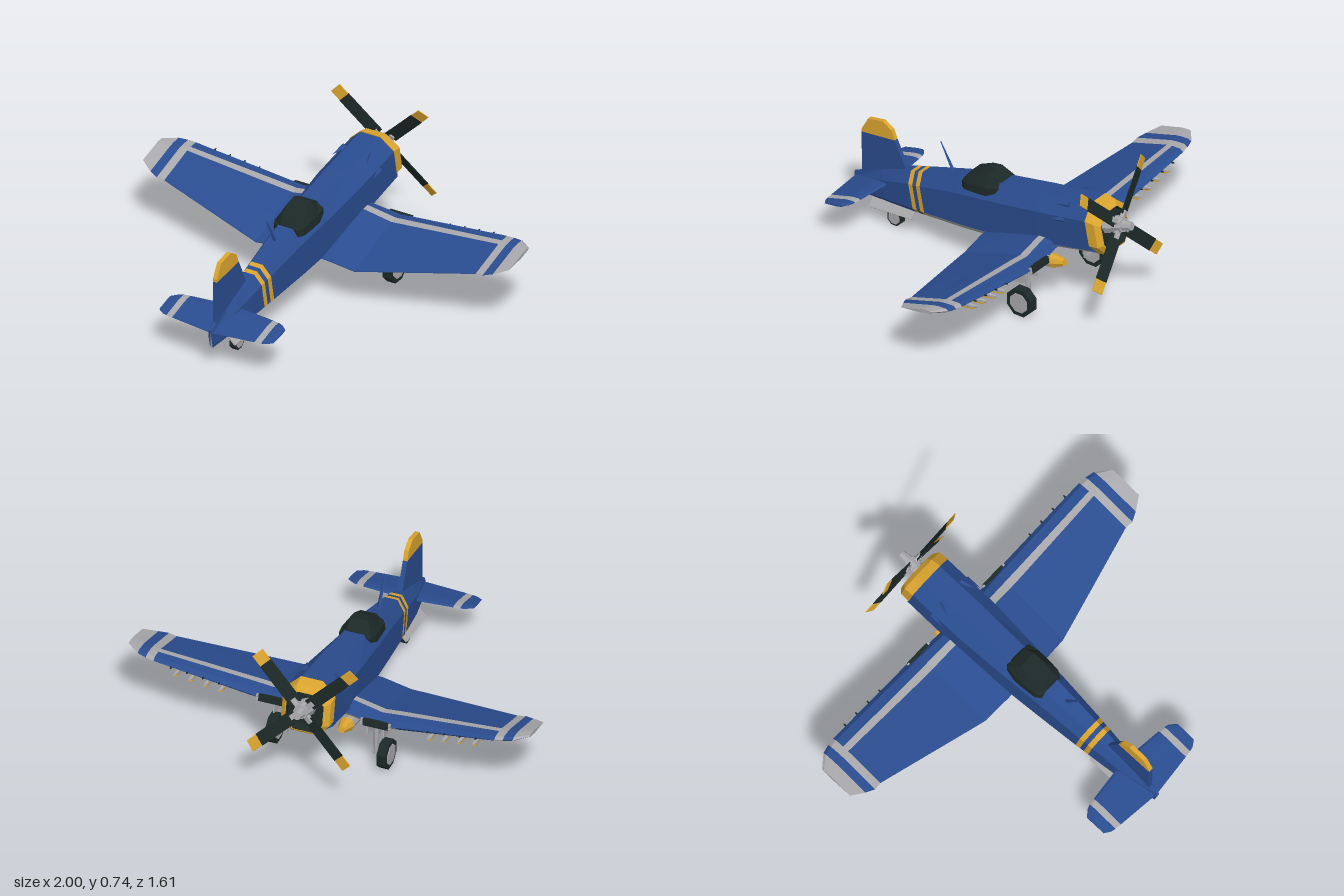
import * as THREE from 'three';

const TILT = 0.2; // nose-up resting attitude
const mat = (name, color) => Object.assign(new THREE.MeshStandardMaterial({ color, flatShading: true }), { name });

export function createModel() {
  const M = {
    blue: mat('blue paint', 0x2a4c8f), yellow: mat('yellow paint', 0xdba52f),
    grey: mat('light grey', 0xa9a9ad), dark: mat('dark rubber and glass', 0x1c2927),
  };
  const model = new THREE.Group();
  model.name = 'propellerAircraft';

  const add = (name, geo, m, pos = [0, 0, 0], rot = [0, 0, 0], parent = model) => {
    const mesh = new THREE.Mesh(geo, m);
    mesh.name = name;
    mesh.position.set(...pos);
    mesh.rotation.set(...rot);
    parent.add(mesh);
    return mesh;
  };
  const group = (name, pos = [0, 0, 0], rx = 0, parent = model) => {
    const g = new THREE.Group();
    g.name = name;
    g.position.set(...pos);
    g.rotation.x = rx;
    parent.add(g);
    return g;
  };
  const box = (x, y, z) => new THREE.BoxGeometry(x, y, z);
  // cylinder along -z, radius r0 at the front end
  const rod = (r0, r1, len, n = 8) => new THREE.CylinderGeometry(r0, r1, len, n).rotateX(-Math.PI / 2);
  // eight-sided wheel with its axle along x
  const wheel = (r, w) => new THREE.CylinderGeometry(r, r, w, 8).rotateY(Math.PI / 8).rotateZ(Math.PI / 2);

  // Skin closed cross-sections; pick(i, j) names the colour of each panel
  function loft(name, rings, pick) {
    const tris = [], n = rings[0].length, last = rings.length - 1;
    for (let i = 0; i < last; i++) for (let j = 0; j < n; j++) {
      const k = (j + 1) % n, a = rings[i][j], b = rings[i][k], c = rings[i + 1][k], d = rings[i + 1][j];
      tris.push([pick(i, j), a, b, c], [pick(i, j), a, c, d]);
    }
    for (let j = 1; j < n - 1; j++) {
      tris.push([pick(-1, j), rings[0][0], rings[0][j + 1], rings[0][j]]);
      tris.push([pick(last, j), rings[last][0], rings[last][j], rings[last][j + 1]]);
    }
    const v = (p) => new THREE.Vector3(...p);
    const o = v(rings[0][0]);
    const volume = tris.reduce((s, [, a, b, c]) => s + v(a).sub(o).dot(v(b).sub(o).cross(v(c).sub(o))), 0);
    const pos = [], mats = [], geo = new THREE.BufferGeometry();
    for (const key of Object.keys(M)) {
      const part = tris.filter((t) => t[0] === key);
      if (!part.length) continue;
      geo.addGroup(pos.length / 3, part.length * 3, mats.length);
      mats.push(M[key]);
      for (const [, a, b, c] of part) pos.push(...a, ...(volume > 0 ? b : c), ...(volume > 0 ? c : b));
    }
    geo.setAttribute('position', new THREE.Float32BufferAttribute(pos, 3));
    geo.computeVertexNormals();
    return add(name, geo, mats);
  }

  // Eight-sided body section, square to the tilted axis
  const ring = (low) => ([z, top, bot, w]) => {
    const c = (top + bot) / 2, h = (top - bot) / 2;
    return [[0.45, 1], [1, 0.5], [1, -low], [0.55, -1], [-0.55, -1], [-1, -low], [-1, 0.5], [-0.45, 1]]
      .map(([x, y]) => [x * w, c + y * h, z + TILT * y * h]);
  };
  loft('fuselage', [
    [-0.645, 0.58, 0.335, 0.12], [-0.35, 0.53, 0.27, 0.12], [-0.1, 0.485, 0.2, 0.105], [0.13, 0.435, 0.168, 0.088],
    [0.36, 0.367, 0.145, 0.07], [0.385, 0.36, 0.143, 0.067], [0.407, 0.353, 0.14, 0.065], [0.432, 0.347, 0.138, 0.063],
    [0.6, 0.285, 0.124, 0.046], [0.79, 0.205, 0.108, 0.01],
  ].map(ring(0.7)), (i, j) => {
    if ((i === 4 || i === 6) && j !== 3) return 'yellow';
    return i >= 0 && (j === 3 || (i < 4 && (j === 2 || j === 4))) ? 'grey' : 'blue';
  });

  // Cowling: outer shell, lip and recessed dark opening
  loft('cowling', [[-0.64, 0.584, 0.331, 0.122], [-0.69, 0.575, 0.342, 0.12], [-0.71, 0.555, 0.358, 0.098],
    [-0.711, 0.55, 0.363, 0.092], [-0.67, 0.545, 0.37, 0.088]].map(ring(0.5)), (i) => (i >= 3 ? 'dark' : 'yellow'));

  // Propeller with engine hub
  const prop = group('propeller', [0, 0.487, -0.742], TILT);
  add('engineCase', rod(0.035, 0.045, 0.06), M.grey, [0, -0.01, 0.05], [0, 0, 0], prop);
  add('hub', rod(0.036, 0.043, 0.045), M.grey, [0, 0, 0], [0, 0, 0], prop);
  add('spinner', rod(0.02, 0.028, 0.05), M.grey, [0, 0, -0.045], [0, 0, 0], prop);
  for (let k = 0; k < 4; k++) {
    const arm = group('bladeArm', [0, 0, 0], 0, prop);
    arm.rotation.z = Math.PI * (0.25 + k / 2);
    const blade = group('blade', [0, 0, 0], 0.28, arm);
    add('bladeRoot', box(0.06, 0.025, 0.02), M.grey, [0.04, 0, 0], [0, 0, 0], blade);
    add('bladeBody', box(0.23, 0.064, 0.004), M.dark, [0.165, 0, 0], [0, 0, 0], blade);
    add('bladeTip', box(0.06, 0.06, 0.004), M.yellow, [0.31, 0, 0], [0, 0, 0], blade);
  }

  // Canopy
  loft('canopy', [[-0.105, 0.465, 0.045, 0.03], [-0.075, 0.495, 0.078, 0.04], [-0.02, 0.521, 0.086, 0.046],
    [0.03, 0.512, 0.085, 0.046], [0.1, 0.482, 0.08, 0.04], [0.13, 0.445, 0.06, 0.03]].map(([z, top, w, t]) =>
    [[t, top, z], [w, 0.455 - 0.15 * z, z], [w + 0.004, 0.415 - 0.1 * z, z],
      [-w - 0.004, 0.415 - 0.1 * z, z], [-w, 0.455 - 0.15 * z, z], [-t, top, z]]), () => 'dark');
  add('aerialMast', new THREE.CylinderGeometry(0.003, 0.011, 0.15, 4), M.blue, [0, 0.485, 0.265], [0.5, 0, 0]);

  // Fin: blue lower part, yellow cap
  const fin = (name, pts, m) => {
    const s = new THREE.Shape(pts.map(([z, y]) => new THREE.Vector2(-z, y)));
    add(name, new THREE.ExtrudeGeometry(s, { depth: 0.022, bevelEnabled: false }).translate(0, 0, -0.011)
      .rotateY(Math.PI / 2), m);
  };
  fin('fin', [[0.49, 0.32], [0.56, 0.462], [0.753, 0.44], [0.75, 0.2], [0.6, 0.24]], M.blue);
  fin('finCap', [[0.56, 0.462], [0.58, 0.51], [0.63, 0.54], [0.715, 0.525], [0.753, 0.455], [0.753, 0.44]], M.yellow);

  // Wing and tailplane sections: [x, zLead, zTrail, yLead, thickness]
  const foil = (s) => ([x, z0, z1, y0, t], f1, f2) => {
    const p = (f, k) => [s * x, y0 - TILT * f * (z1 - z0) + k * t, z0 + f * (z1 - z0)];
    return [p(0, 0), p(0.06, 0.65), p(f1, 0.95), p(f2, 1), p(0.6, 0.6), p(1, 0.04), p(1, -0.04), p(0.4, -0.9), p(0.08, -0.6)];
  };

  for (const s of [1, -1]) {
    const wingRings = [[0, -0.46, -0.03, 0.315, 0.05], [0.12, -0.46, -0.03, 0.312, 0.05], [0.27, -0.475, -0.04, 0.29, 0.045],
      [0.36, -0.474, -0.06, 0.301, 0.042], [0.85, -0.467, -0.172, 0.357, 0.024], [0.89, -0.462, -0.168, 0.362, 0.022],
      [0.935, -0.45, -0.187, 0.367, 0.018], [1, -0.4, -0.225, 0.372, 0.01]]
      .map((w) => foil(s)(w, 0.14 + 0.09 * w[0], 0.22 + 0.12 * w[0]));
    loft('wing', wingRings, (i, j) => {
      if (i >= 6 || i === 4) return 'grey';
      if (j >= 6) return i < 3 ? 'grey' : 'blue';
      return i < 4 && j === 2 ? 'grey' : 'blue';
    });
    loft('tailplane', [[0, 0.575, 0.79, 0.232, 0.012], [0.225, 0.598, 0.768, 0.229, 0.01], [0.258, 0.603, 0.764, 0.228, 0.01],
      [0.28, 0.61, 0.76, 0.227, 0.009], [0.312, 0.635, 0.74, 0.222, 0.005]].map((w) => foil(s)(w, 0.2, 0.35)),
    (i) => (i === 1 ? 'grey' : 'blue'));

    // Leading-edge intake, gun muzzles and cowl flaps
    add('intakeFrame', box(0.15, 0.03, 0.02), M.grey, [s * 0.26, 0.293, -0.464], [TILT, 0, 0]);
    add('intake', box(0.125, 0.034, 0.024), M.dark, [s * 0.26, 0.293, -0.466], [TILT, 0, 0]);
    for (const x of [0.52, 0.6, 0.68, 0.76]) {
      add('gunMuzzle', rod(0.003, 0.005, 0.014, 5), M.dark, [s * x, 0.263 + x * 0.11, -0.475], [TILT, 0, 0]);
    }
    for (const [x, y] of [[0.122, 0.475], [0.085, 0.54]]) {
      add('cowlFlap', new THREE.ConeGeometry(0.018, 0.075, 4).rotateX(Math.PI / 2), M.blue, [s * x, y, -0.47], [TILT, s * 0.25, 0]);
    }

    // Main landing gear
    const gear = group('mainGear', [s * 0.278, 0.07, -0.38]);
    add('tyre', wheel(0.075, 0.045), M.dark, [0, 0.001, 0], [0, 0, 0], gear);
    add('wheelHub', wheel(0.052, 0.052), M.grey, [0, 0, 0], [0, 0, 0], gear);
    add('axle', box(0.06, 0.022, 0.022), M.grey, [-s * 0.035, 0, 0], [0, 0, 0], gear);
    add('strut', new THREE.CylinderGeometry(0.015, 0.012, 0.2, 6), M.grey, [-s * 0.052, 0.09, 0], [0, 0, 0], gear);
    add('torqueLink', box(0.012, 0.1, 0.02), M.grey, [-s * 0.052, 0.12, 0.03], [-0.45, 0, 0], gear);
    for (const x of [-0.085, -0.005]) {
      add('gearDoor', box(0.006, 0.075, 0.17), M.grey, [s * x, 0.125, 0.06], [TILT, 0, 0], gear);
    }

    // Bomb beside the belly
    const bomb = group('bomb', [s * 0.1, 0.204, -0.335], TILT);
    add('bombBody', rod(0.034, 0.034, 0.15), M.grey, [0, 0, -0.02], [0, 0, 0], bomb);
    add('bombTail', rod(0.034, 0.012, 0.09), M.grey, [0, 0, 0.1], [0, 0, 0], bomb);
    add('bombNose', rod(0.018, 0.037, 0.07), M.yellow, [0, 0, -0.13], [0, 0, 0], bomb);
    add('bombPylon', box(0.02, 0.06, 0.1), M.grey, [0, 0.045, -0.02], [0, 0, 0], bomb);
    for (const a of [1, -1]) add('bombFin', box(0.075, 0.005, 0.05), M.grey, [0, 0, 0.135], [0, 0, a * Math.PI / 4], bomb);

    // Underwing rockets with a painted strip beneath the front half
    for (let k = 0; k < 4; k++) {
      const x = 0.52 + 0.075 * k;
      const rocket = group('rocket', [s * x, 0.253 + 0.01 * k, -0.35], TILT);
      add('rocketBody', rod(0.011, 0.011, 0.2, 6), M.grey, [0, 0, 0.01], [0, 0, 0], rocket);
      add('rocketTip', rod(0.005, 0.012, 0.035, 6), M.grey, [0, 0, -0.107], [0, 0, 0], rocket);
      add('rocketStripe', box(0.018, 0.006, 0.1), M.yellow, [0, -0.009, -0.062], [0, 0, 0], rocket);
      for (const z of [-0.05, 0.05]) add('rocketPylon', box(0.008, 0.035, 0.02), M.grey, [0, 0.018, z], [0, 0, 0], rocket);
      for (const a of [1, -1]) add('rocketFin', box(0.062, 0.004, 0.035), M.grey, [0, 0, 0.09], [0, 0, a * Math.PI / 4], rocket);
    }
    // Tail wheel door
    add('tailWheelDoor', box(0.006, 0.05, 0.25), M.grey, [s * 0.042, 0.112, 0.55], [0.08, 0, s * 0.75]);
  }

  // Tail wheel
  const tail = group('tailWheel', [0, 0.042, 0.56]);
  add('tailTyre', wheel(0.043, 0.032), M.dark, [0, 0, 0], [0, 0, 0], tail);
  add('tailHub', wheel(0.033, 0.038), M.grey, [0, 0, 0], [0, 0, 0], tail);
  for (const s of [1, -1]) add('tailFork', box(0.006, 0.08, 0.018), M.grey, [s * 0.022, 0.03, -0.025], [-0.7, 0, 0], tail);
  add('tailStrut', box(0.03, 0.08, 0.025), M.grey, [0, 0.075, -0.055], [-0.3, 0, 0], tail);

  return model;
}
